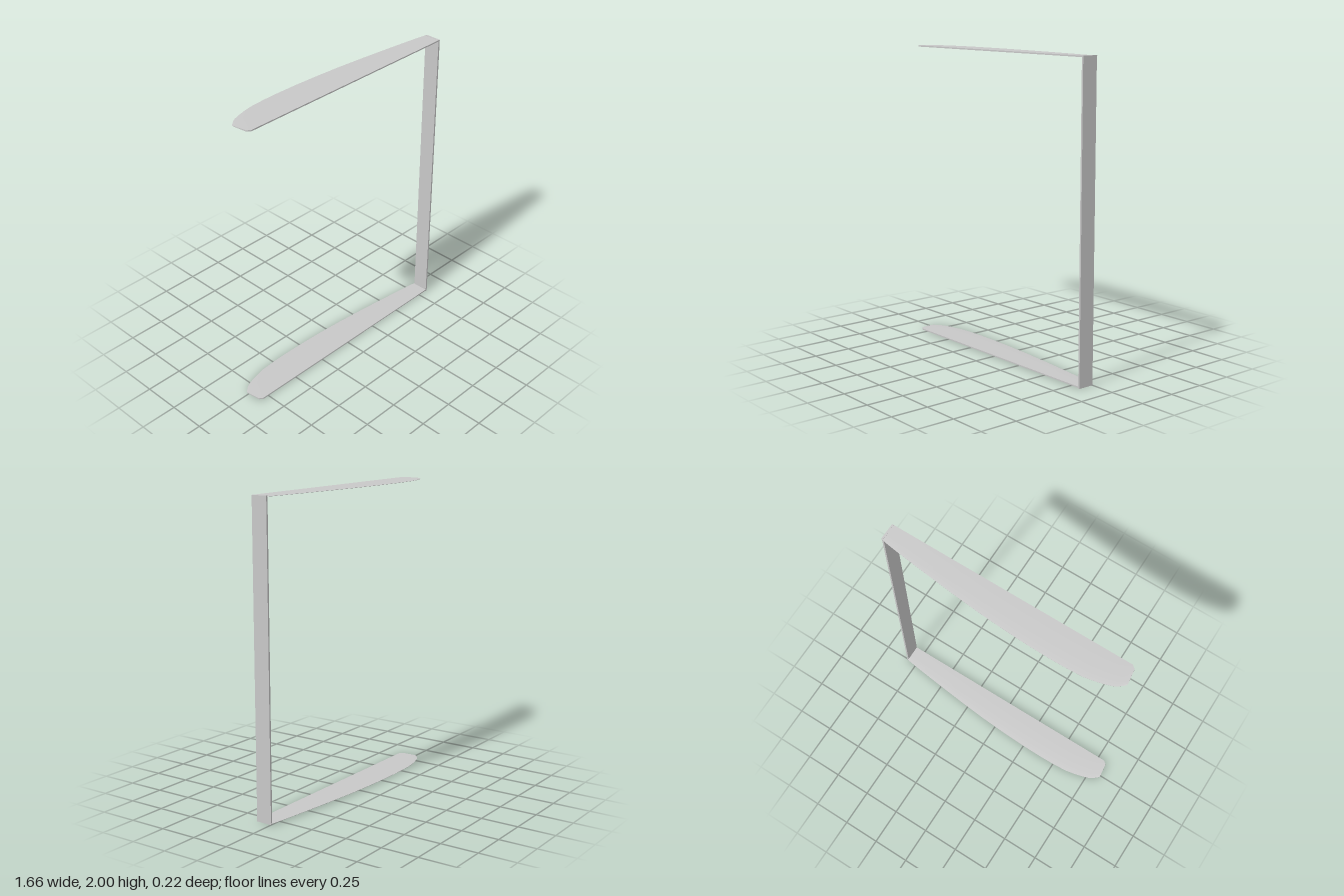
import * as THREE from 'three';
import { toCreasedNormals } from 'three/addons/utils/BufferGeometryUtils.js';

// Blade outline stations: x, back edge z, front edge z
const STATIONS = [
  [-0.832, -0.012, 0.002], [-0.82, -0.025, 0.09], [-0.797, -0.044, 0.108],
  [-0.77, -0.06, 0.108], [-0.73, -0.074, 0.108], [-0.67, -0.09, 0.108],
  [-0.6, -0.103, 0.108], [-0.5, -0.109, 0.108], [-0.4, -0.111, 0.108],
  [-0.25, -0.109, 0.108], [-0.1, -0.103, 0.108], [0.1, -0.09, 0.108],
  [0.3, -0.071, 0.108], [0.5, -0.049, 0.108], [0.7, -0.025, 0.108],
  [0.8, -0.011, 0.108], [0.83, -0.004, 0.108],
];

// Box grid reshaped to the outline, with its thickness tapering to the back edge
function bladeGeometry() {
  const n = STATIONS.length - 1;
  const geo = new THREE.BoxGeometry(1, 1, 1, n, 1, 8);
  const p = geo.attributes.position;
  for (let i = 0; i < p.count; i++) {
    const [x, back, front] = STATIONS[Math.round((p.getX(i) + 0.5) * n)];
    const z = THREE.MathUtils.lerp(back, front, p.getZ(i) + 0.5);
    const taper = THREE.MathUtils.clamp((z - back) / 0.12, 0, 1);
    const half = 0.0008 + 0.0035 * Math.sqrt(taper);
    p.setXYZ(i, x, Math.sign(p.getY(i)) * half, z);
  }
  return toCreasedNormals(geo, 0.6);
}

export function createModel() {
  const model = new THREE.Group();
  const grey = new THREE.MeshStandardMaterial({ color: 0xc8c8c8 });
  grey.name = 'plain grey';

  // Upright strip joining the blades
  const upright = new THREE.Mesh(new THREE.BoxGeometry(0.012, 2, 0.108), grey);
  upright.name = 'upright';
  upright.position.set(0.824, 1, 0.054);
  model.add(upright);

  // Two identical horizontal blades
  const geo = bladeGeometry();
  for (const [name, y] of [['lowerBlade', 0.008], ['upperBlade', 1.9955]]) {
    const blade = new THREE.Mesh(geo, grey);
    blade.name = name;
    blade.position.y = y;
    model.add(blade);
  }
  return model;
}
